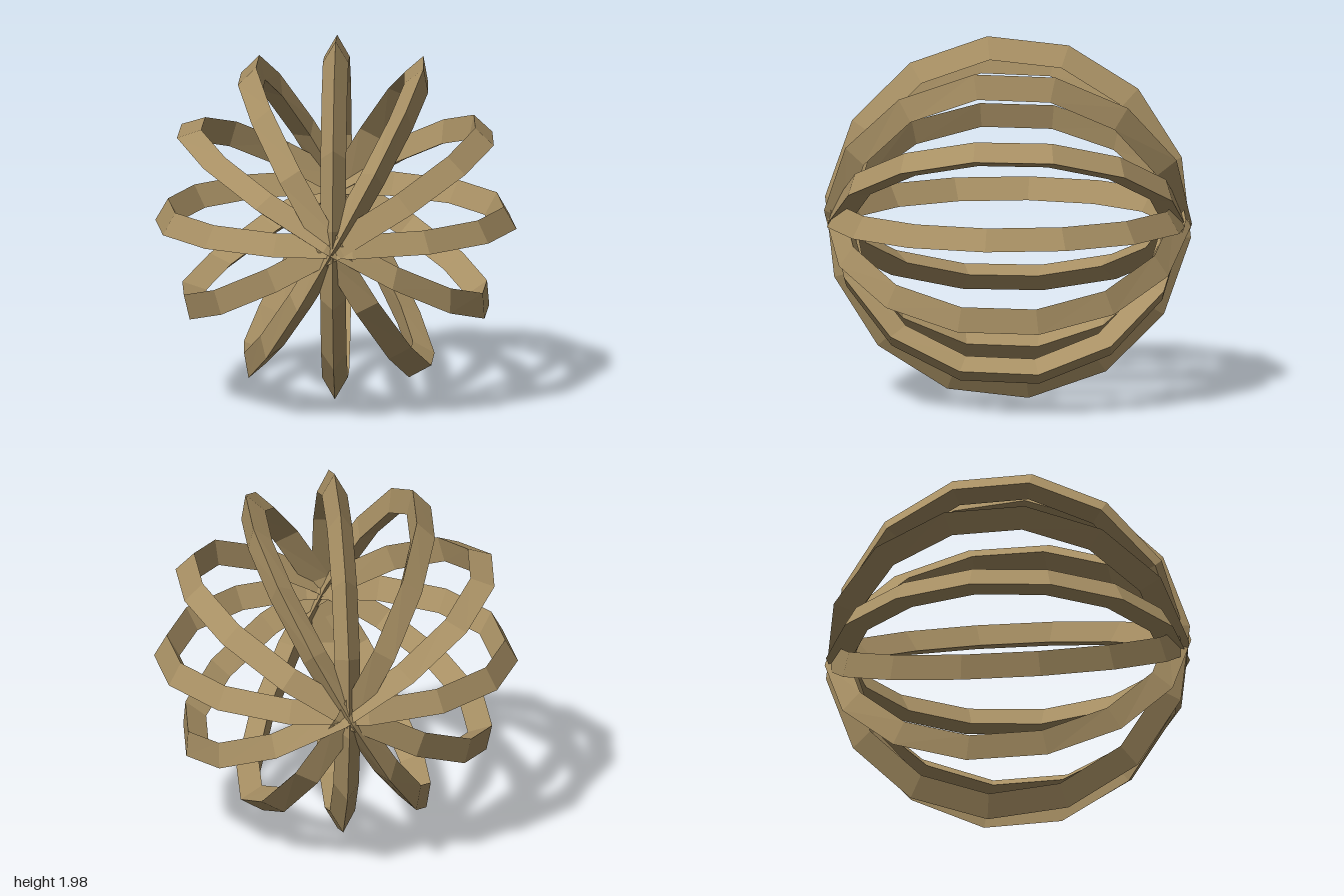
import * as THREE from 'three';

const RING_RADIUS = 0.917, BAR_RADIUS = 0.08, SEGMENTS = 14, SIDES = 3;
const rad = THREE.MathUtils.degToRad;

// Triangular bar swept round a circle that passes through both poles (+z and -z).
// plane: turn of the ring about z; roll: turn of the triangle; twist: change of roll; phase: first joint
function ringGeometry(plane, roll, twist, phase) {
  const pole = new THREE.Vector3(0, 0, 1);
  const out = new THREE.Vector3(Math.cos(plane), Math.sin(plane), 0);
  const side = new THREE.Vector3().crossVectors(pole, out);
  const positions = [], index = [];
  for (let i = 0; i < SEGMENTS; i++) {
    const a = phase + (i / SEGMENTS) * Math.PI * 2;
    for (let j = 0; j < SIDES; j++) {
      const b = roll + twist * Math.sin(a) + (j / SIDES) * Math.PI * 2;
      const r = RING_RADIUS + BAR_RADIUS * Math.cos(b);
      const p = new THREE.Vector3()
        .addScaledVector(pole, r * Math.cos(a))
        .addScaledVector(out, r * Math.sin(a))
        .addScaledVector(side, BAR_RADIUS * Math.sin(b));
      positions.push(p.x, p.y, p.z);
      const i2 = (i + 1) % SEGMENTS, j2 = (j + 1) % SIDES;
      const p00 = i * SIDES + j, p10 = i2 * SIDES + j;
      const p01 = i * SIDES + j2, p11 = i2 * SIDES + j2;
      index.push(p00, p10, p11, p00, p11, p01);
    }
  }
  const geometry = new THREE.BufferGeometry();
  geometry.setAttribute('position', new THREE.Float32BufferAttribute(positions, 3));
  geometry.setIndex(index);
  geometry.computeVertexNormals();
  return geometry;
}

export function createModel() {
  const model = new THREE.Group();
  model.name = 'ringCage';
  const material = new THREE.MeshStandardMaterial({ color: 0xa89064, flatShading: true });

  // Six rings, 30 degrees apart: [roll, twist, phase] in degrees
  const rings = [
    [90, 0, 6.43],
    [77, 0, 2.5],
    [0, 10, 2.5],
    [0, 0, 6.43],
    [68, 7, 2.5],
    [21, -4, 2.5],
  ];
  rings.forEach(([roll, twist, phase], k) => {
    const ring = new THREE.Mesh(
      ringGeometry(rad(30 * k), rad(roll), rad(twist), rad(phase)), material);
    ring.name = `ring${k + 1}`;
    ring.position.y = 1;
    model.add(ring);
  });
  return model;
}
